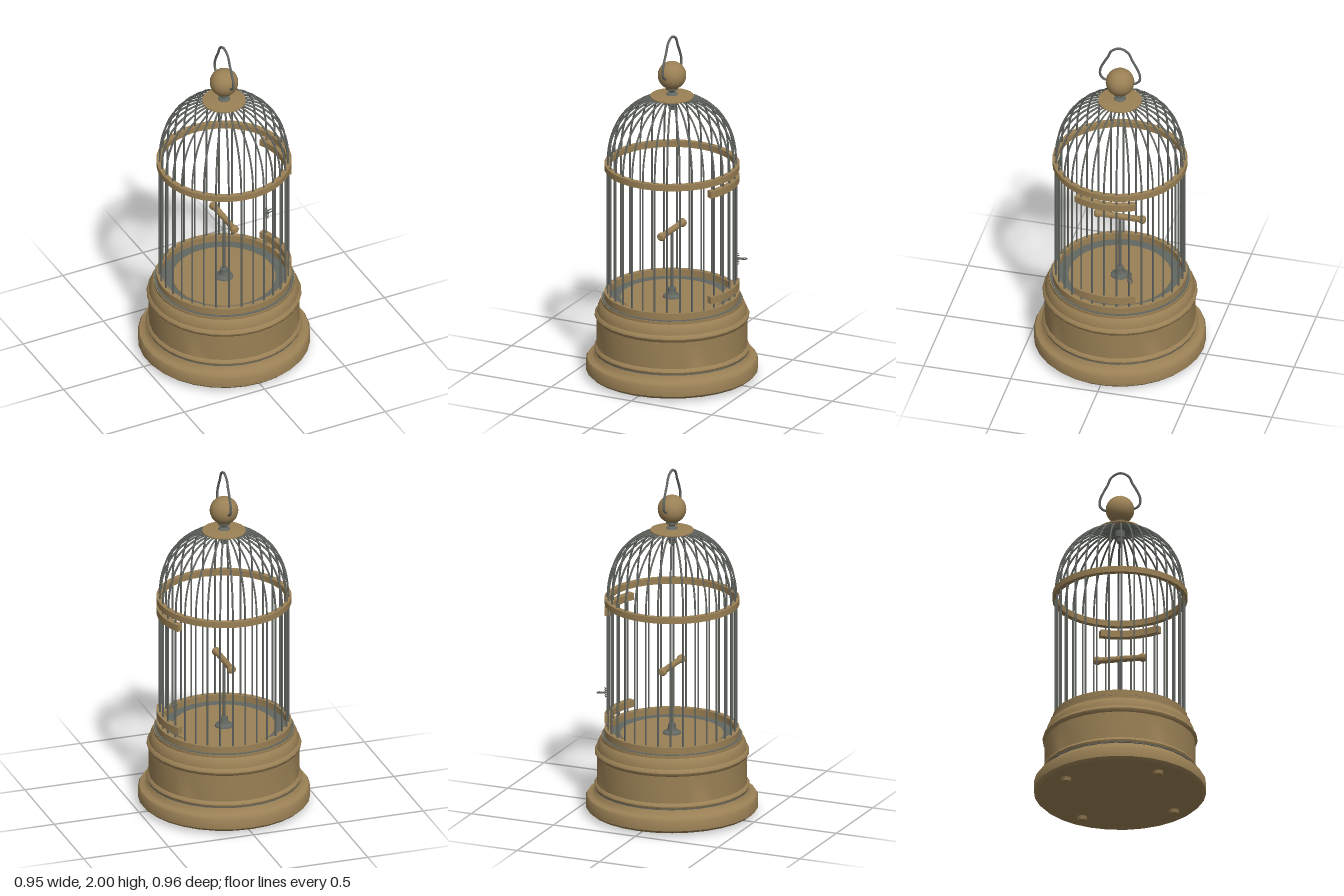
import * as THREE from 'three';
import { toCreasedNormals } from 'three/addons/utils/BufferGeometryUtils.js';

const SIDES = 30;
const brass = new THREE.MeshStandardMaterial({ color: 0x9a8055 });
brass.name = 'brass';
const steel = new THREE.MeshStandardMaterial({ color: 0x636761 });
steel.name = 'steel';

const vec = (x, y, z) => new THREE.Vector3(x, y, z);

export function createModel() {
  const model = new THREE.Group();
  model.name = 'birdcage';

  function add(name, geometry, material, parent = model) {
    const mesh = new THREE.Mesh(geometry, material);
    mesh.name = name;
    parent.add(mesh);
    return mesh;
  }

  // Turned part from [radius, height] pairs, listed from bottom to top
  function turned(profile, sides = SIDES) {
    const points = profile.map(([r, y]) => new THREE.Vector2(r, y));
    return toCreasedNormals(new THREE.LatheGeometry(points, sides), 0.6);
  }

  // Flat-sided hoop with a closed cross-section
  const hoop = (inner, outer, y0, y1) =>
    turned([[inner, y0], [outer, y0], [outer, y1], [inner, y1], [inner, y0]], 32);

  function wire(points, radius, segments, sides = 6) {
    return new THREE.TubeGeometry(new THREE.CatmullRomCurve3(points), segments, radius, sides);
  }

  // Moulded pedestal with a wide plinth, drum and two beads
  add('pedestal', turned([
    [0, 0.02], [0.465, 0.02], [0.48, 0.035], [0.48, 0.09], [0.472, 0.103], [0.445, 0.108],
    [0.432, 0.12], [0.422, 0.145], [0.43, 0.15], [0.434, 0.16], [0.43, 0.17], [0.42, 0.178],
    [0.42, 0.335], [0.428, 0.343], [0.432, 0.355], [0.428, 0.367], [0.418, 0.375],
    [0.415, 0.395], [0.405, 0.42], [0.395, 0.432], [0.395, 0.448], [0, 0.448],
  ]), brass);
  add('pedestalSeam', hoop(0.415, 0.428, 0.142, 0.149), steel);

  // Four feet on the diagonals
  for (const x of [-0.26, 0.26]) {
    for (const z of [-0.26, 0.26]) {
      const foot = add('foot', new THREE.CylinderGeometry(0.032, 0.026, 0.022, 12), brass);
      foot.position.set(x, 0.011, z);
    }
  }

  // Cage floor
  add('floorTray', turned([[0.39, 0.446], [0.39, 0.452], [0, 0.452]]), steel);
  add('floorPanel', turned([[0.288, 0.452], [0.288, 0.456], [0, 0.456]]), brass);

  // Hoops holding the bars
  add('lowerHoop', hoop(0.348, 0.377, 0.45, 0.49), brass);
  add('upperHoop', hoop(0.348, 0.377, 1.215, 1.25), brass);

  // Bars: a straight run and a domed top
  const dome = [[0.36, 1.23], [0.355, 1.32], [0.337, 1.405], [0.302, 1.485],
    [0.25, 1.55], [0.18, 1.602], [0.1, 1.633], [0.03, 1.638]];
  const domeGeometry = wire(dome.map(([r, y]) => vec(r, y, 0)), 0.0055, 20);
  const barGeometry = new THREE.CylinderGeometry(0.0055, 0.0055, 0.78, 6, 1, true);
  barGeometry.translate(0.36, 0.84, 0);
  const bars = new THREE.Group();
  bars.name = 'bars';
  model.add(bars);
  for (let i = 0; i < 32; i++) {
    const angle = (i / 32) * Math.PI * 2;
    add('uprightBar', barGeometry, steel, bars).rotation.y = angle;
    add('domeBar', domeGeometry, steel, bars).rotation.y = angle;
  }

  // Curved door rails on the left side
  function doorRail(name, y, height) {
    const half = 0.485;
    const shape = new THREE.Shape();
    shape.absarc(0, 0, 0.376, -half, half, false);
    shape.absarc(0, 0, 0.342, half, -half, true);
    const geometry = new THREE.ExtrudeGeometry(shape,
      { depth: height, bevelEnabled: false, curveSegments: 12 });
    geometry.rotateX(-Math.PI / 2);
    add(name, toCreasedNormals(geometry, 0.6), brass).position.y = y;
  }
  doorRail('lowerDoorRail', 0.52, 0.042);
  doorRail('upperDoorRail', 1.147, 0.04);

  // Door latch: a small coil and a looped handle
  const latch = new THREE.Group();
  latch.name = 'doorLatch';
  latch.position.set(0.335, 0.69, -0.14);
  latch.rotation.y = 0.4;
  model.add(latch);
  const coil = [];
  for (let i = 0; i <= 40; i++) {
    const a = (i / 40) * Math.PI * 10;
    coil.push(vec(Math.cos(a) * 0.011, -0.03 + i * 0.0015, Math.sin(a) * 0.011));
  }
  add('latchCoil', wire(coil, 0.0025, 80, 5), steel, latch);
  add('latchHandle', new THREE.TubeGeometry(new THREE.CatmullRomCurve3([
    vec(0, 0, 0), vec(0.03, 0, 0.009), vec(0.048, 0, 0.009),
    vec(0.055, 0, 0), vec(0.048, 0, -0.009), vec(0.03, 0, -0.009),
  ], true), 30, 0.0035, 6, true), steel, latch);

  // Perch on its post
  add('perchFoot', turned([[0.052, 0.456], [0.05, 0.464], [0.03, 0.474], [0.022, 0.49],
    [0.022, 0.51], [0, 0.513]], 16), steel);
  add('perchPost', new THREE.CylinderGeometry(0.008, 0.008, 0.36, 8), steel).position.y = 0.67;
  const perch = add('perch', turned([[0, -0.148], [0.016, -0.146], [0.024, -0.136], [0.024, -0.122],
    [0.018, -0.108], [0.017, 0.108], [0.024, 0.122], [0.024, 0.136], [0.016, 0.146],
    [0, 0.148]], 14), brass);
  perch.position.y = 0.852;
  perch.rotation.x = Math.PI / 2;

  // Crown: cap plate, hub below, neck and ball above
  add('crownPlate', turned([[0, 1.641], [0.122, 1.641], [0.122, 1.647], [0.05, 1.654],
    [0, 1.654]], 24), brass);
  add('crownHub', turned([[0, 1.565], [0.018, 1.567], [0.022, 1.59], [0.028, 1.595],
    [0.028, 1.64]], 14), steel);
  add('crownNeck', turned([[0.036, 1.65], [0.03, 1.66], [0.018, 1.666], [0.018, 1.674],
    [0.034, 1.684], [0.034, 1.694], [0, 1.7]], 16), steel);
  add('crownBall', new THREE.SphereGeometry(0.08, 20, 14), brass).position.y = 1.767;

  // Hanging loop hooked into both sides of the ball
  const side = [[0.065, 1.768], [0.09, 1.772], [0.112, 1.795], [0.113, 1.835], [0.092, 1.885],
    [0.07, 1.925], [0.052, 1.965], [0.028, 1.985]];
  add('hangingLoop', wire([
    ...side.map(([z, y]) => vec(0, y, z)),
    vec(0, 1.993, 0),
    ...side.slice().reverse().map(([z, y]) => vec(0, y, -z)),
  ], 0.007, 64, 8), steel);

  return model;
}
